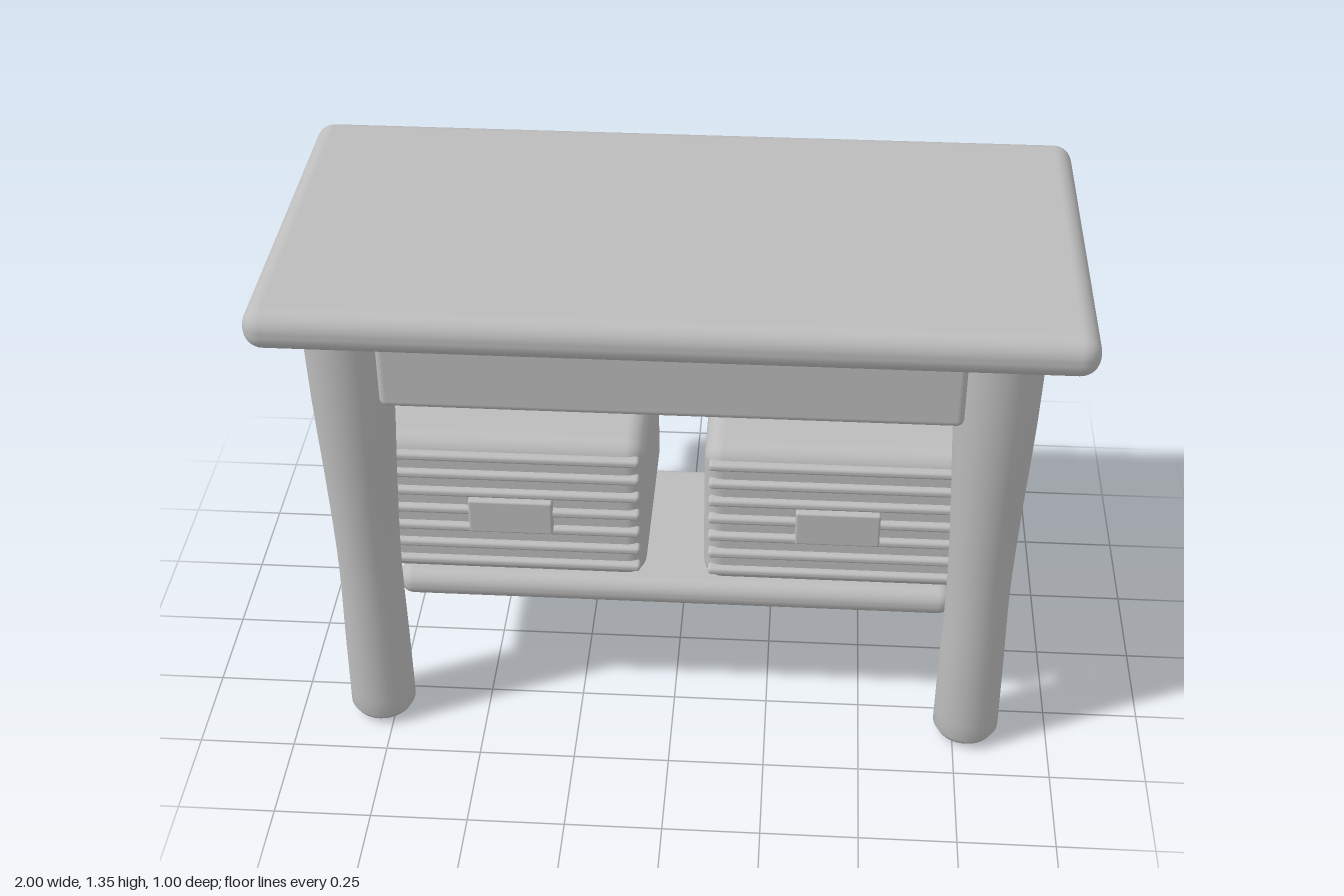
import * as THREE from 'three';
import { RoundedBoxGeometry } from 'three/addons/geometries/RoundedBoxGeometry.js';

export function createModel() {
  const model = new THREE.Group();
  model.name = 'consoleTable';
  const grey = new THREE.MeshStandardMaterial({ color: 0xbcbcbc, side: THREE.DoubleSide });
  grey.name = 'plain grey';

  // Rounded block given by its limits on each axis
  function block(name, [x0, x1], [y0, y1], [z0, z1], radius, parent = model) {
    const mesh = new THREE.Mesh(new RoundedBoxGeometry(x1 - x0, y1 - y0, z1 - z0, 4, radius), grey);
    mesh.position.set((x0 + x1) / 2, (y0 + y1) / 2, (z0 + z1) / 2);
    mesh.name = name;
    parent.add(mesh);
  }

  // Table top and lower shelf with rounded edges
  block('tableTop', [-1, 1], [1.24, 1.345], [-0.5, 0.5], 0.048);
  block('shelf', [-0.73, 0.73], [0.327, 0.405], [-0.265, 0.265], 0.037);

  // Aprons between the legs, front and back
  for (const z of [-0.33, 0.33]) {
    block('apron', [-0.705, 0.705], [1.04, 1.26], [z - 0.08, z + 0.08], 0.018);
  }

  // Turned legs, slightly waisted and open at the foot
  const waist = new THREE.SplineCurve([
    [0.086, 0.035], [0.084, 0.25], [0.081, 0.5], [0.089, 0.75], [0.101, 1.0], [0.108, 1.25],
  ].map(([r, y]) => new THREE.Vector2(r, y)));
  const profile = [new THREE.Vector2(0.057, 0), new THREE.Vector2(0.075, 0.016), ...waist.getPoints(16)];
  const legGeometry = new THREE.LatheGeometry(profile, 32);
  for (const x of [-0.785, 0.785]) {
    for (const z of [-0.328, 0.328]) {
      const leg = new THREE.Mesh(legGeometry, grey);
      leg.name = 'leg';
      leg.position.set(x, 0, z);
      model.add(leg);
    }
  }

  // Two storage baskets with slatted fronts and a label plate
  for (const side of [-1, 1]) {
    const basket = new THREE.Group();
    basket.name = side > 0 ? 'leftBasket' : 'rightBasket';
    basket.position.x = side * 0.42;
    block('basketBody', [-0.345, 0.345], [0.405, 0.835], [-0.31, 0.25], 0.05, basket);
    for (let i = 0; i < 7; i++) {
      const y = 0.457 + i * 0.0555;
      block('slat', [-0.332, 0.332], [y - 0.011, y + 0.011], [0.235, 0.268], 0.009, basket);
    }
    block('frontPlate', [-0.108, 0.108], [0.57, 0.67], [0.24, 0.283], 0.006, basket);
    model.add(basket);
  }

  return model;
}
